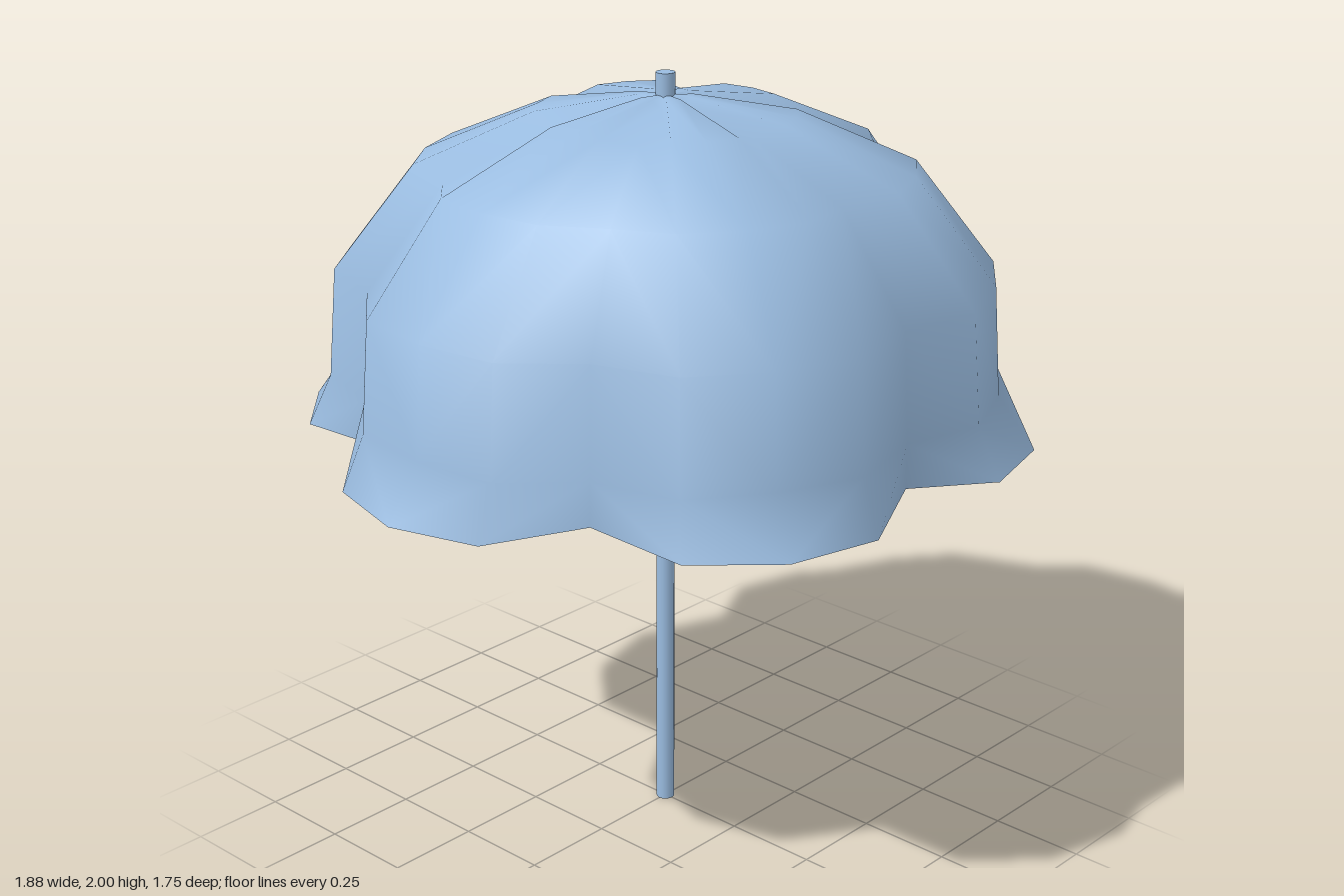
import * as THREE from 'three';

const fabric = new THREE.MeshStandardMaterial({ color: 0x9abce0, side: THREE.DoubleSide });
fabric.name = 'pale blue';

// Rings from crown to hem: [lobe radius, lobe height, quarter radius, quarter height, valley radius, valley height]
const RINGS = [
  [0.02, 1.945, 0.02, 1.945, 0.02, 1.942],
  [0.07, 1.945, 0.07, 1.945, 0.062, 1.922],
  [0.325, 1.905, 0.322, 1.905, 0.285, 1.885],
  [0.62, 1.775, 0.62, 1.775, 0.56, 1.765],
  [0.825, 1.51, 0.825, 1.51, 0.755, 1.51],
  [0.845, 1.23, 0.848, 1.23, 0.772, 1.235],
  [0.94, 1.095, 0.908, 1.097, 0.773, 1.122],
];
const LOBES = 6;
const SIDES = LOBES * 4;

function canopyGeometry() {
  const positions = [];
  const indices = [];
  RINGS.forEach((ring, i) => {
    for (let j = 0; j < SIDES; j++) {
      // Steps around one lobe: crest, quarter, valley, quarter
      const k = [0, 2, 4, 2][j % 4];
      const angle = (j / SIDES) * Math.PI * 2;
      positions.push(ring[k] * Math.cos(angle), ring[k + 1], ring[k] * Math.sin(angle));
      if (i === 0) continue;
      const next = (j + 1) % SIDES;
      const a = (i - 1) * SIDES + j;
      const d = (i - 1) * SIDES + next;
      const b = i * SIDES + j;
      const c = i * SIDES + next;
      // Diagonals mirror on either side of each fold
      if (j % 4 < 2) indices.push(a, d, b, d, c, b);
      else indices.push(a, c, b, a, d, c);
    }
  });
  const geometry = new THREE.BufferGeometry();
  geometry.setAttribute('position', new THREE.Float32BufferAttribute(positions, 3));
  geometry.setIndex(indices);
  geometry.computeVertexNormals();
  return geometry;
}

export function createModel() {
  const group = new THREE.Group();
  group.name = 'parasol';

  // Scalloped fabric canopy
  const canopy = new THREE.Mesh(canopyGeometry(), fabric);
  canopy.name = 'canopy';
  group.add(canopy);

  // Straight pole that pokes through the crown
  const pole = new THREE.Mesh(new THREE.CylinderGeometry(0.024, 0.024, 2, 16), fabric);
  pole.name = 'pole';
  pole.position.y = 1;
  group.add(pole);

  return group;
}
